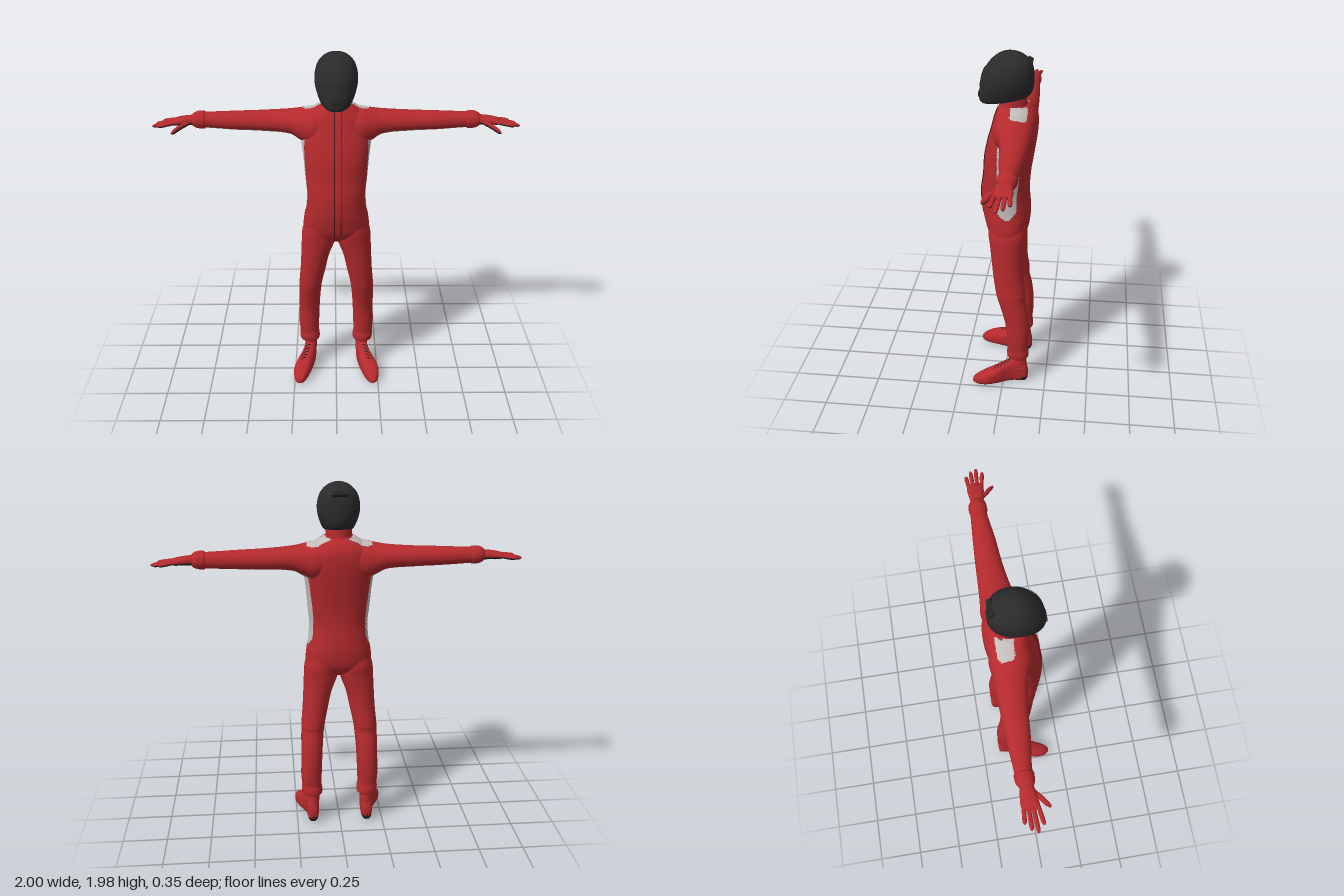
import * as THREE from 'three';

const flat = (name, color, extra = {}) => {
  const m = new THREE.MeshStandardMaterial({ color, ...extra });
  m.name = name;
  return m;
};

// Smoothly interpolated cross-section [t, lo1, hi1, lo2, hi2] on segment i at fraction f
function section(rings, i, f) {
  const a = rings[i], b = rings[i + 1], dt = b[0] - a[0];
  const slope = (j, k) => {
    const p = rings[Math.max(j - 1, 0)], q = rings[Math.min(j + 1, rings.length - 1)];
    return (q[k] - p[k]) / (q[0] - p[0]);
  };
  return a.map((v, k) => {
    if (k === 0) return v + dt * f;
    const f2 = f * f, f3 = f2 * f;
    return v * (2 * f3 - 3 * f2 + 1) + b[k] * (3 * f2 - 2 * f3)
      + dt * (slope(i, k) * (f3 - 2 * f2 + f) + slope(i + 1, k) * (f3 - f2));
  });
}
function sectionAt(rings, t) {
  let i = 0;
  while (i < rings.length - 2 && rings[i + 1][0] < t) i++;
  return section(rings, i, (t - rings[i][0]) / (rings[i + 1][0] - rings[i][0]));
}

// Skin of superellipse sections along an axis; pick(centroid, angle) selects the material index
function loft(name, rings, mats, o = {}) {
  const { axis = 'y', segs = 32, steps = 5, n = 2, side = 1, from, to, grow = 0, warp, pick = () => 0 } = o;
  const open = from !== undefined;
  const cols = open ? segs + 1 : segs;
  const pos = [], rows = [];
  const put = (p, t, q) => {
    const v = axis === 'y' ? [p, t, q] : axis === 'x' ? [t, p, q] : [p, q, t];
    if (warp) warp(v);
    pos.push(v[0] * side, v[1], v[2]);
  };
  for (let i = 0; i < rings.length - 1; i++)
    for (let s = 0; s < steps; s++) rows.push(section(rings, i, s / steps));
  rows.push(rings[rings.length - 1]);
  const pow = c => Math.sign(c) * Math.abs(c) ** (2 / n);
  const angle = j => open ? from + (to - from) * j / segs : j / segs * Math.PI * 2;
  for (const [t, l1, h1, l2, h2] of rows)
    for (let j = 0; j < cols; j++) {
      const a = angle(j);
      put((l1 + h1) / 2 + ((h1 - l1) / 2 + grow) * pow(Math.cos(a)), t,
        (l2 + h2) / 2 + ((h2 - l2) / 2 + grow) * pow(Math.sin(a)));
    }
  const lists = mats.map(() => []);
  const flip = (axis === 'y') !== (side > 0);
  const tri = (a, b, c, ang) => {
    const mid = k => (pos[a * 3 + k] + pos[b * 3 + k] + pos[c * 3 + k]) / 3;
    const list = lists[pick({ x: Math.abs(mid(0)), y: mid(1), z: mid(2) }, ang)];
    if (flip) list.push(a, c, b); else list.push(a, b, c);
  };
  for (let r = 0; r < rows.length - 1; r++)
    for (let j = 0; j < segs; j++) {
      const k = open ? j + 1 : (j + 1) % cols;
      const a = r * cols + j, b = r * cols + k;
      tri(a, a + cols, b, angle(j + 0.5));
      tri(b, a + cols, b + cols, angle(j + 0.5));
    }
  if (!open) for (const r of [0, rows.length - 1]) {
    const [t, l1, h1, l2, h2] = rows[r], c = pos.length / 3;
    put((l1 + h1) / 2, t, (l2 + h2) / 2);
    for (let j = 0; j < segs; j++) {
      const a = r * cols + j, b = r * cols + (j + 1) % cols;
      if (r) tri(a, c, b, angle(j)); else tri(a, b, c, angle(j));
    }
  }
  const g = new THREE.BufferGeometry();
  g.setAttribute('position', new THREE.Float32BufferAttribute(pos, 3));
  const index = [];
  lists.forEach((l, m) => {
    g.addGroup(index.length, l.length, m);
    for (const v of l) index.push(v);
  });
  g.setIndex(index);
  g.computeVertexNormals();
  const mesh = new THREE.Mesh(g, mats.length > 1 ? mats : mats[0]);
  mesh.name = name;
  return mesh;
}

const sym = list => list.map(([y, w, back, front]) => [y, -w, w, back, front]);

export function createModel() {
  const model = new THREE.Group();
  model.name = 'racingDriver';
  const red = flat('suitRed', 0xb52a2d), white = flat('panelGrey', 0xc2bcba);
  const black = flat('rubberBlack', 0x242424), shell = flat('helmetBlack', 0x2b2b2c);
  const seam = flat('seamDarkRed', 0x4a1214);
  const add = m => model.add(m);

  // Pale patches on the shoulders, down the flanks and under the arms
  const shoulder = c => c.y > 1.6 && c.x > 0.05 && c.x < 0.175
    && Math.abs(c.z + 0.075) < 0.045 - Math.max(0, c.x - 0.15) * 0.7;
  const flank = c => {
    if (c.y < 1.08 || c.y > 1.6 || c.x < 0.09) return false;
    const up = Math.max(0, (c.y - 1.2) / 0.35), round = Math.min(1, (c.y - 1.08) / 0.05);
    return Math.abs(c.z + 0.018 + 0.02 * up) < (0.053 + 0.015 * up) * Math.sqrt(round);
  };

  // Torso
  const torso = sym([
    [0.9, 0.08, -0.06, 0.04], [0.93, 0.15, -0.1, 0.075], [0.97, 0.183, -0.125, 0.1],
    [1.05, 0.18, -0.138, 0.122], [1.1, 0.17, -0.137, 0.13], [1.2, 0.163, -0.13, 0.135],
    [1.3, 0.172, -0.135, 0.122], [1.4, 0.18, -0.15, 0.115], [1.5, 0.19, -0.165, 0.095],
    [1.57, 0.185, -0.172, 0.075], [1.63, 0.165, -0.168, 0.06], [1.67, 0.125, -0.145, 0.045],
    [1.695, 0.085, -0.12, 0.035]]);
  add(loft('torso', torso, [red, white], {
    segs: 120, steps: 8, n: 2.3, pick: c => (shoulder(c) || flank(c) ? 1 : 0) }));
  add(loft('collar', sym([[1.65, 0.078, -0.122, 0.036], [1.69, 0.073, -0.115, 0.04],
    [1.72, 0.071, -0.112, 0.036], [1.755, 0.069, -0.11, 0.03]]), [red]));

  // Zip flap with dark seams, following the chest
  const strip = (name, x, w, d, mat) => {
    const g = new THREE.BoxGeometry(w, 0.72, d, 1, 40, 1), p = g.attributes.position;
    for (let i = 0; i < p.count; i++) {
      const y = p.getY(i) + 1.315;
      p.setXYZ(i, p.getX(i) + x, y, p.getZ(i) + sectionAt(torso, y)[4]);
    }
    g.computeVertexNormals();
    const m = new THREE.Mesh(g, mat);
    m.name = name;
    add(m);
  };
  strip('zipFlap', 0.008, 0.032, 0.009, red);
  for (const x of [-0.01, 0.026]) strip('zipSeam', x, 0.005, 0.007, seam);

  // Helmet with a lower chin, a visor, vents and a rear lip
  const tilt = v => {
    v[1] -= 0.17 * v[2] * THREE.MathUtils.clamp((1.85 - v[1]) / 0.13, 0, 1);
  };
  const helmet = sym([
    [1.722, 0.076, -0.115, 0.13], [1.735, 0.086, -0.13, 0.143], [1.77, 0.101, -0.143, 0.144],
    [1.81, 0.112, -0.146, 0.136], [1.85, 0.115, -0.146, 0.127], [1.89, 0.109, -0.142, 0.11],
    [1.925, 0.095, -0.128, 0.085], [1.955, 0.068, -0.096, 0.052], [1.972, 0.038, -0.06, 0.02],
    [1.98, 0.006, -0.026, -0.014]]);
  add(loft('helmetShell', helmet, [shell], { segs: 48, n: 2.15, warp: tilt }));
  const visor = [1.8, 1.82, 1.85, 1.88, 1.9].map(y => sectionAt(helmet, y));
  add(loft('visor', visor, [shell], {
    segs: 32, n: 2.15, from: 0.45, to: Math.PI - 0.45, grow: 0.004, warp: tilt }));
  const block = (name, w, h, d, x, y, z, rx) => {
    const m = new THREE.Mesh(new THREE.BoxGeometry(w, h, d), black);
    m.name = name;
    m.position.set(x, y, z);
    m.rotation.x = rx;
    add(m);
  };
  block('chinVent', 0.055, 0.022, 0.012, 0, 1.745, 0.142, 0);
  block('rearLip', 0.09, 0.018, 0.03, 0, 1.928, -0.122, -0.5);

  for (const side of [1, -1]) {
    const limb = (name, rings, mats, o) => add(loft(name, rings, mats, { side, ...o }));
    // Arm and cuff
    const arm = [
      [0.06, 1.5, 1.675, -0.15, 0.05], [0.13, 1.46, 1.672, -0.163, 0.06],
      [0.19, 1.485, 1.66, -0.158, 0.04], [0.25, 1.518, 1.65, -0.154, 0.016],
      [0.4, 1.53, 1.64, -0.148, -0.008], [0.55, 1.535, 1.635, -0.14, -0.022],
      [0.68, 1.542, 1.63, -0.131, -0.04], [0.73, 1.545, 1.628, -0.128, -0.042]];
    limb('arm', arm, [red, white], {
      axis: 'x', segs: 80, steps: 10, n: 2.1,
      pick: (c, a) => {
        if (shoulder(c)) return 1;
        const under = Math.cos(a) < -0.3 && c.x < 0.7;
        return under && Math.abs(c.z + 0.055 + 0.035 * c.x) < 0.068 - 0.065 * c.x ? 1 : 0;
      } });
    limb('gloveCuff', [[0.71, 1.545, 1.63, -0.128, -0.042], [0.718, 1.538, 1.636, -0.134, -0.036],
      [0.755, 1.541, 1.634, -0.132, -0.038], [0.775, 1.55, 1.624, -0.122, -0.044],
      [0.785, 1.56, 1.614, -0.11, -0.055]], [red], { axis: 'x' });

    // Glove: red back, black palm
    const glove = { axis: 'x', segs: 24, steps: 4, pick: (c, a) => (Math.cos(a) < -0.15 ? 1 : 0) };
    limb('palm', [[0.76, 1.558, 1.613, -0.112, -0.05], [0.8, 1.561, 1.611, -0.119, -0.045],
      [0.85, 1.563, 1.603, -0.125, -0.036], [0.88, 1.564, 1.594, -0.123, -0.036],
      [0.893, 1.572, 1.585, -0.112, -0.046]], [red, black], { ...glove, n: 2.4 });
    const digit = (name, path, r) => {
      const k = [0.9, 1.05, 0.95, 0.3];
      limb(name, path.map(([x, y, z], i) =>
        [x, y - r * k[i], y + r * k[i], z - r * k[i], z + r * k[i]]), [red, black], { ...glove, segs: 14 });
    };
    [[-0.112, 0.952, -0.119, 1.568], [-0.09, 0.985, -0.09, 1.562],
      [-0.068, 1, -0.06, 1.558], [-0.046, 0.968, -0.029, 1.566]].forEach(([z, tx, tz, ty]) => {
      const at = f => [0.86 + (tx - 0.86) * f, 1.583 + (ty - 1.583) * f, z + (tz - z) * f];
      digit('finger', [0, 0.5, 0.9, 1].map(at), 0.0105);
    });
    digit('thumb', [[0.795, 1.58, -0.06], [0.84, 1.566, -0.022], [0.875, 1.549, 0.005],
      [0.888, 1.543, 0.015]], 0.0145);

    // Trouser leg with knee fold and gathered hem
    limb('leg', [
      [0.168, 0.115, 0.2, -0.13, -0.04], [0.178, 0.103, 0.216, -0.147, -0.027],
      [0.21, 0.102, 0.221, -0.15, -0.022], [0.235, 0.106, 0.219, -0.145, -0.026],
      [0.3, 0.104, 0.224, -0.15, -0.02], [0.4, 0.1, 0.221, -0.15, -0.012],
      [0.5, 0.094, 0.22, -0.138, 0.012], [0.57, 0.087, 0.218, -0.122, 0.034],
      [0.6, 0.083, 0.217, -0.125, 0.042], [0.7, 0.062, 0.208, -0.113, 0.058],
      [0.8, 0.04, 0.202, -0.11, 0.07], [0.9, 0.004, 0.197, -0.113, 0.082],
      [0.96, 0.003, 0.192, -0.12, 0.09], [1.03, 0.02, 0.17, -0.11, 0.09]],
    [red], { segs: 40, steps: 5, n: 2.15 });

    // Boot with dark sole, shaft and laces
    const foot = [
      [-0.146, 0.148, 0.172, 0.025, 0.08], [-0.136, 0.132, 0.186, 0.006, 0.12],
      [-0.11, 0.124, 0.192, 0, 0.148], [-0.06, 0.124, 0.198, 0, 0.158],
      [-0.02, 0.129, 0.212, 0, 0.138], [0.03, 0.14, 0.238, 0, 0.113],
      [0.08, 0.155, 0.255, 0, 0.092], [0.12, 0.17, 0.255, 0, 0.075],
      [0.155, 0.188, 0.246, 0.004, 0.055], [0.175, 0.206, 0.23, 0.014, 0.036]];
    limb('boot', foot, [red, black], {
      axis: 'z', segs: 48, n: 2.7,
      pick: c => (c.y < 0.013 || (c.z < -0.115 && c.y < 0.035) ? 1 : 0) });
    limb('bootShaft', [[0.08, 0.122, 0.196, -0.139, -0.03], [0.13, 0.12, 0.192, -0.138, -0.038],
      [0.16, 0.12, 0.188, -0.133, -0.05], [0.2, 0.12, 0.186, -0.133, -0.052]], [red]);
    for (const z of [-0.035, -0.015, 0.005, 0.025, 0.045]) {
      const [, x0, x1, , top] = sectionAt(foot, z), cx = (x0 + x1) / 2;
      const line = [[-0.025, -0.009], [0, 0.002], [0.025, -0.009]].map(([dx, dy], i) =>
        new THREE.Vector3(side * (cx + dx), top + dy, z + (i - 1) * 0.008));
      const lace = new THREE.Mesh(
        new THREE.TubeGeometry(new THREE.CatmullRomCurve3(line), 8, 0.003, 6), black);
      lace.name = 'lace';
      add(lace);
    }
  }
  return model;
}
